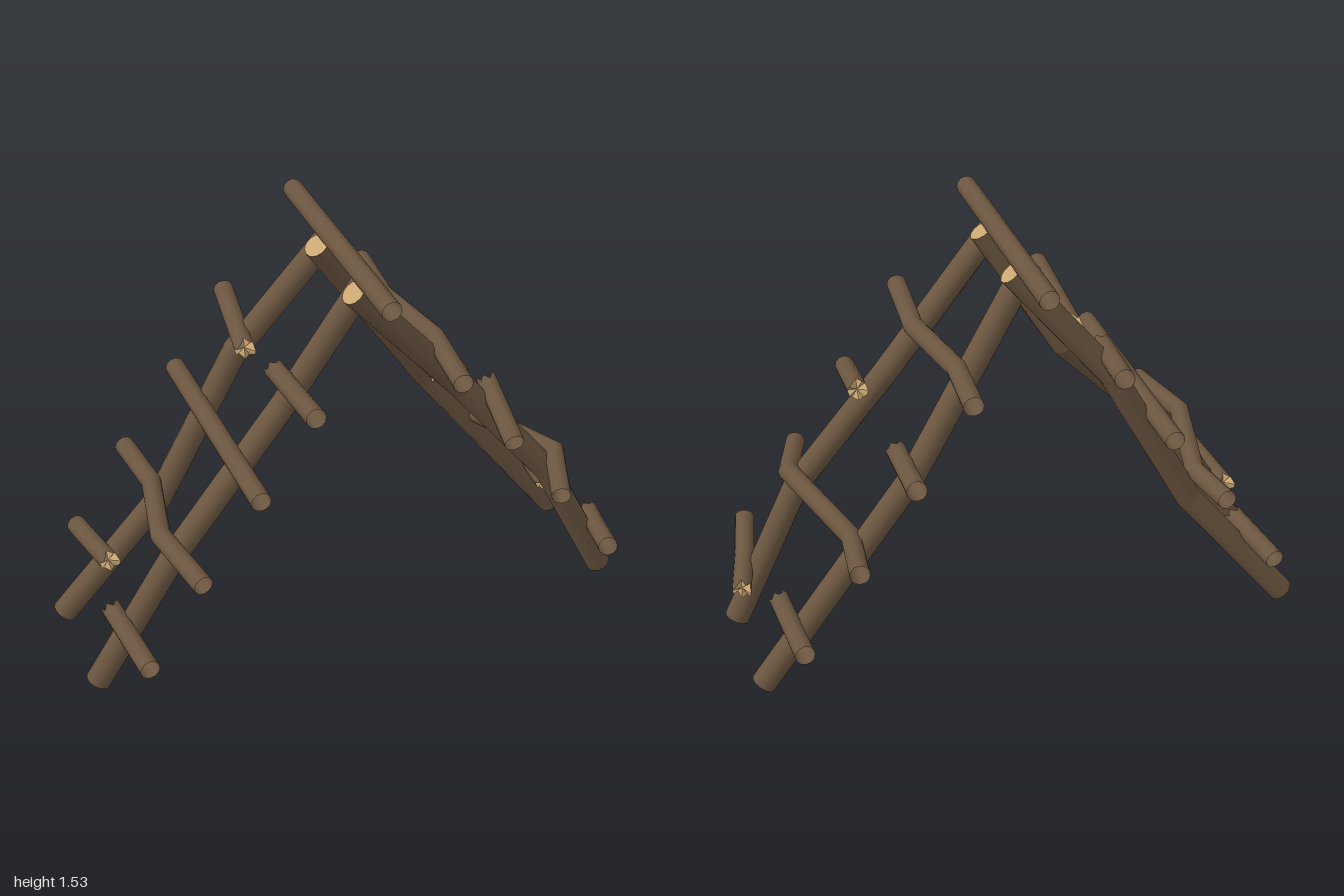
import * as THREE from 'three';

const SIDES = 12;
const JAG = [0.02, -0.015, 0.005, -0.02, 0.01, 0.018, -0.01, 0.006, -0.02, 0.012, -0.004, 0.016];

// Round log along a bent path, with mitred joints. end: 'open', 'cut' or 'broken'.
function log(name, path, radius, end, bark, wood) {
  const group = new THREE.Group();
  group.name = name;
  const pts = path.map(p => new THREE.Vector3(...p));
  const dirs = pts.slice(1).map((p, i) => p.clone().sub(pts[i]).normalize());
  const last = dirs.length;
  const u = new THREE.Vector3(0, 1, 0).cross(dirs[0]).normalize();
  const v = dirs[0].clone().cross(u);
  let offsets = [];
  for (let k = 0; k < SIDES; k++) {
    const a = k / SIDES * Math.PI * 2;
    offsets.push(u.clone().multiplyScalar(Math.cos(a) * radius).addScaledVector(v, Math.sin(a) * radius));
  }
  const pos = [], nor = [], idx = [];
  let ring = offsets.map(o => o.clone().add(pts[0]));
  for (let s = 0; s < last; s++) {
    const d = dirs[s];
    const plane = s + 1 < last ? d.clone().add(dirs[s + 1]).normalize() : d;
    const next = offsets.map((o, k) => {
      const q = o.clone().addScaledVector(d, -o.dot(plane) / d.dot(plane)).add(pts[s + 1]);
      return s + 1 === last && end === 'broken' ? q.addScaledVector(d, JAG[k]) : q;
    });
    const base = pos.length / 3;
    for (const loop of [ring, next]) {
      loop.forEach((p, k) => {
        pos.push(p.x, p.y, p.z);
        nor.push(...offsets[k].clone().normalize().toArray());
      });
    }
    for (let k = 0; k < SIDES; k++) {
      const a = base + k, b = base + (k + 1) % SIDES;
      idx.push(a, b, b + SIDES, a, b + SIDES, a + SIDES);
    }
    ring = next;
    if (s + 1 < last) {
      const e = dirs[s + 1];
      offsets = next.map(p => {
        const o = p.clone().sub(pts[s + 1]);
        return o.addScaledVector(e, -o.dot(e));
      });
    }
  }
  const shell = new THREE.BufferGeometry();
  shell.setAttribute('position', new THREE.Float32BufferAttribute(pos, 3));
  shell.setAttribute('normal', new THREE.Float32BufferAttribute(nor, 3));
  shell.setIndex(idx);
  const bark1 = new THREE.Mesh(shell, bark);
  bark1.name = name + 'Bark';
  group.add(bark1);

  // Pale end grain
  if (end !== 'open') {
    const c = pts[last].clone();
    if (end === 'broken') c.addScaledVector(dirs[last - 1], -0.01);
    const tri = [];
    ring.forEach((p, k) => tri.push(c, p, ring[(k + 1) % SIDES]));
    const cap = new THREE.BufferGeometry().setFromPoints(tri);
    cap.computeVertexNormals();
    const grain = new THREE.Mesh(cap, wood);
    grain.name = name + 'EndGrain';
    group.add(grain);
  }
  return group;
}

export function createModel() {
  const model = new THREE.Group();
  model.name = 'logFrame';
  const bark = new THREE.MeshStandardMaterial({ color: 0x6b5640, side: THREE.DoubleSide });
  bark.name = 'bark';
  const wood = new THREE.MeshStandardMaterial({ color: 0xc8a672, side: THREE.DoubleSide });
  wood.name = 'paleWood';

  // Leaning poles, from the ground to the crossing
  const poles = {
    frontRightPole: [[-0.963, 0.037, 0.125], [-0.68, 0.53, 0.165], [-0.24, 1.01, 0.1], [0.04, 1.475, 0.155]],
    backRightPole: [[-0.963, 0.037, -0.28], [-0.6, 0.49, -0.22], [-0.3, 1.05, -0.21], [0.04, 1.475, -0.155]],
    frontLeftPole: [[0.963, 0.037, 0.2], [0.71, 0.55, 0.22], [0.38, 0.97, 0.185], [-0.04, 1.47, 0.22]],
    backLeftPole: [[0.963, 0.037, -0.2], [0.42, 0.77, -0.21], [-0.04, 1.47, -0.1]],
  };
  for (const [name, path] of Object.entries(poles)) model.add(log(name, path, 0.045, 'cut', bark, wood));

  // Whole crossbars, front to back
  const bars = {
    ridgeBar: [[0.005, 1.508, 0.43], [0.005, 1.508, -0.43]],
    leftTopRung: [[0.265, 1.165, 0.43], [0.295, 1.165, 0.13], [0.24, 1.165, -0.18], [0.26, 1.165, -0.43]],
    leftLowRung: [[0.66, 0.59, 0.43], [0.74, 0.617, 0.21], [0.62, 0.563, -0.17], [0.66, 0.59, -0.43]],
    rightUpperRung: [[-0.45, 0.885, 0.43], [-0.45, 0.885, -0.43]],
    rightLowRung: [[-0.66, 0.6, 0.43], [-0.71, 0.617, 0.14], [-0.63, 0.585, -0.2], [-0.655, 0.6, -0.43]],
  };
  for (const [name, path] of Object.entries(bars)) model.add(log(name, path, 0.035, 'open', bark, wood));

  // Snapped rungs, from the outer end to the break
  const broken = {
    leftUpperRungFront: [[0.465, 0.87, 0.43], [0.495, 0.94, 0.145]],
    leftUpperRungBack: [[0.457, 0.88, -0.43], [0.43, 0.825, -0.095]],
    leftBottomRungFront: [[0.865, 0.305, 0.43], [0.905, 0.268, 0.27], [0.955, 0.217, 0.115]],
    leftBottomRungBack: [[0.86, 0.305, -0.43], [0.855, 0.265, -0.05]],
    rightTopRungFront: [[-0.255, 1.165, 0.43], [-0.25, 1.115, 0.045]],
    rightTopRungBack: [[-0.26, 1.165, -0.43], [-0.3, 1.115, -0.11]],
    rightBottomRungFront: [[-0.86, 0.3, 0.43], [-0.88, 0.295, 0.075]],
    rightBottomRungBack: [[-0.855, 0.3, -0.43], [-0.815, 0.318, -0.155]],
  };
  for (const [name, path] of Object.entries(broken)) model.add(log(name, path, 0.035, 'broken', bark, wood));

  return model;
}
